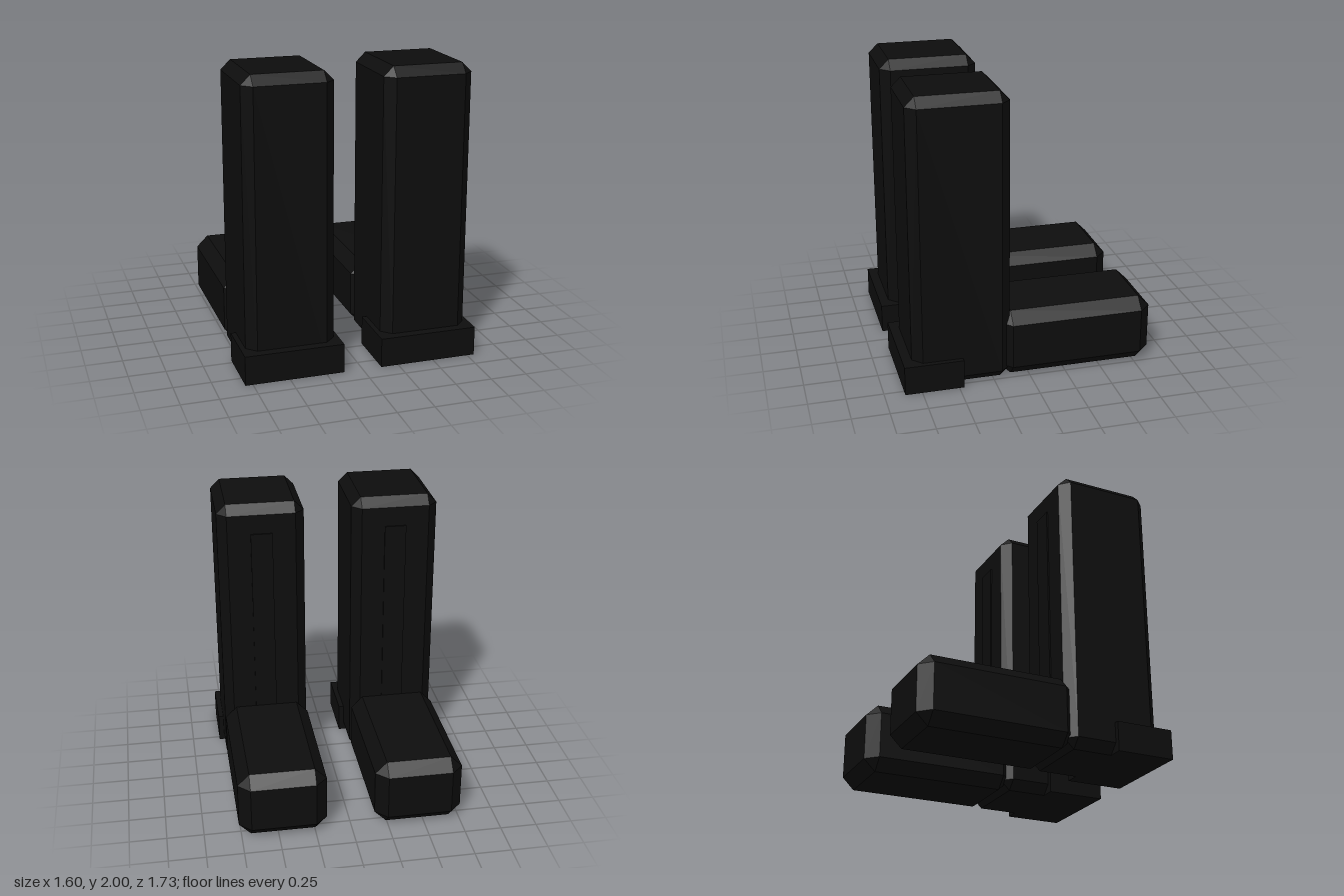
import * as THREE from 'three';
import { ConvexGeometry } from 'three/addons/geometries/ConvexGeometry.js';

const black = new THREE.MeshStandardMaterial({ color: 0x0d0d0d });
black.name = 'black';

// Box between two corners with every edge chamfered by b
function chamferedBox(min, max, b) {
  const lo = new THREE.Vector3(...min), hi = new THREE.Vector3(...max);
  const centre = lo.clone().add(hi).multiplyScalar(0.5);
  const half = hi.clone().sub(lo).multiplyScalar(0.5);
  const points = [];
  for (const sx of [-1, 1]) for (const sy of [-1, 1]) for (const sz of [-1, 1])
    for (let axis = 0; axis < 3; axis++) {
      const p = half.clone().subScalar(b);
      p.setComponent(axis, half.getComponent(axis));
      points.push(p.multiply(new THREE.Vector3(sx, sy, sz)).add(centre));
    }
  return new ConvexGeometry(points);
}

function box(min, max) {
  const size = max.map((v, i) => v - min[i]);
  return new THREE.BoxGeometry(...size)
    .translate(...max.map((v, i) => (v + min[i]) / 2));
}

function add(group, name, geometry) {
  const mesh = new THREE.Mesh(geometry, black);
  mesh.name = name;
  group.add(mesh);
}

export function createModel() {
  const model = new THREE.Group();
  model.name = 'pairOfLShapedBlocks';

  for (const side of [-1, 1]) {
    const block = new THREE.Group();
    block.name = side > 0 ? 'leftBlock' : 'rightBlock';
    block.position.x = side * 0.465;

    // Tall post, lying arm behind it, plain toe plate and thin strip on the back
    add(block, 'post', chamferedBox([-0.3, 0, 0.13], [0.3, 2, 0.8], 0.065));
    add(block, 'arm', chamferedBox([-0.3, 0, -0.865], [0.3, 0.47, 0.2], 0.08));
    add(block, 'toePlate', box([-0.335, 0, 0.465], [0.335, 0.2, 0.865]));
    add(block, 'backStrip', box([-0.075, 0.2, 0.12], [0.075, 1.8, 0.135]));
    model.add(block);
  }
  return model;
}
